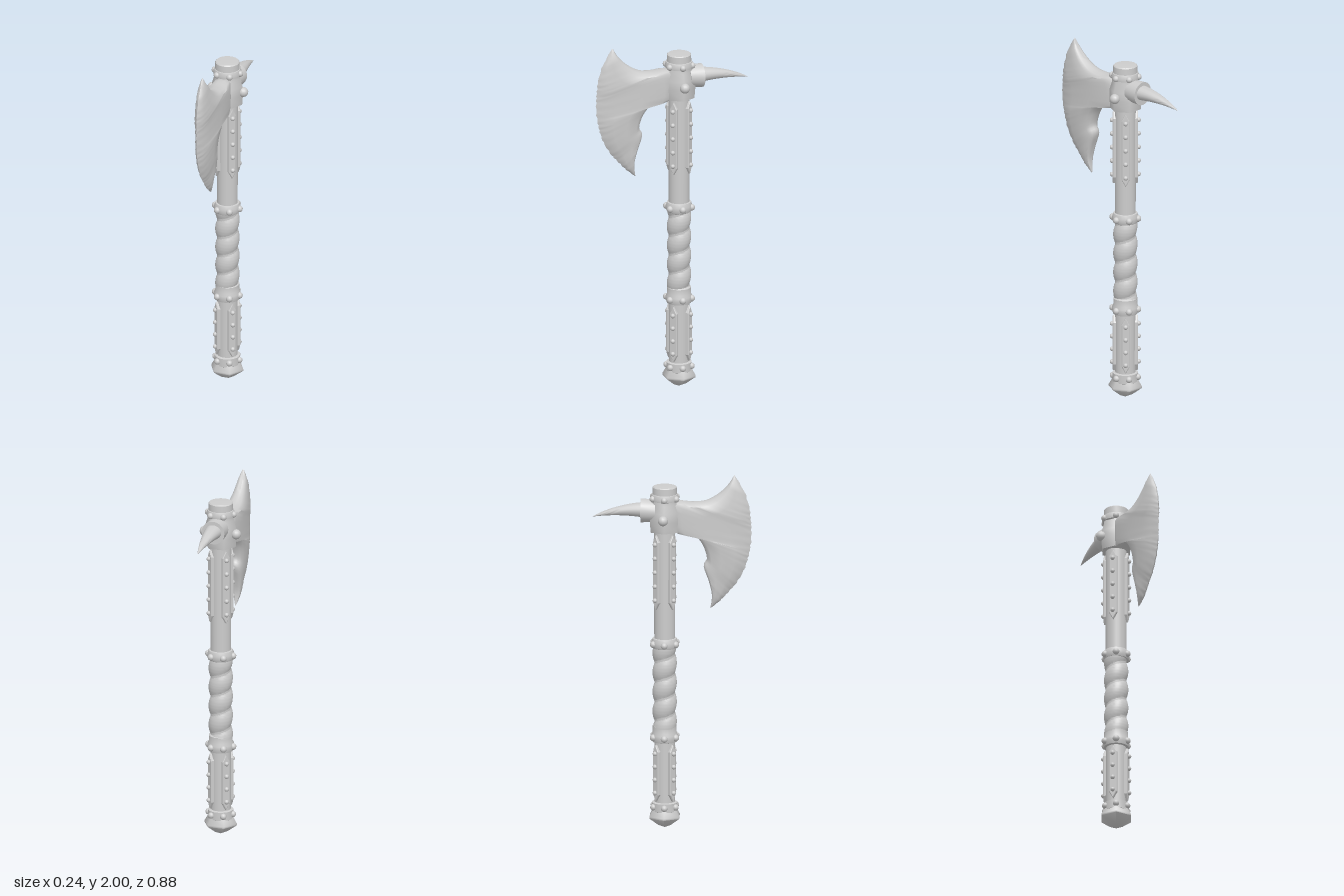
import * as THREE from 'three';
import { toCreasedNormals, mergeVertices } from 'three/addons/utils/BufferGeometryUtils.js';

const TAU = Math.PI * 2;
const steel = new THREE.MeshStandardMaterial({ color: 0xcccccc });
steel.name = 'light grey steel';

// Skin a list of closed rings (each an array of [x, y, z])
function loft(rings, crease = 0.7) {
  const n = rings[0].length, index = [];
  for (let i = 0; i < rings.length - 1; i++) {
    for (let j = 0; j < n; j++) {
      const a = i * n + j, b = i * n + (j + 1) % n;
      index.push(a, b, a + n, b, b + n, a + n);
    }
  }
  const g = new THREE.BufferGeometry();
  g.setAttribute('position', new THREE.Float32BufferAttribute(rings.flat(2), 3));
  g.setIndex(index);
  return toCreasedNormals(g, crease);
}

// Turned part from [radius, y] pairs; six-sided parts have corners at the left and right
function turned(profile, sides, crease = 0.6) {
  const points = profile.map(p => new THREE.Vector2(p[0], p[1]));
  const g = new THREE.LatheGeometry(points, sides, sides === 6 ? Math.PI / 6 : 0);
  g.deleteAttribute('normal');
  g.deleteAttribute('uv');
  return toCreasedNormals(mergeVertices(g, 1e-5), crease);
}

function add(parent, name, geometry) {
  const mesh = new THREE.Mesh(geometry, steel);
  mesh.name = name;
  parent.add(mesh);
  return mesh;
}

// Ring of round studs about the shaft
function studRing(parent, name, y, radius, size, count = 6) {
  const group = new THREE.Group();
  group.name = name;
  for (let i = 0; i < count; i++) {
    const a = Math.PI / 6 + i * TAU / count;
    const stud = add(group, 'stud', new THREE.SphereGeometry(size, 12, 8));
    stud.position.set(radius * Math.sin(a), y, radius * Math.cos(a));
  }
  parent.add(group);
}

// Four pointed bars on the diagonals, each carrying a row of studs
function studdedBars(parent, name, y0, y1, count) {
  const h = (y1 - y0) / 2, w = 0.018, p = 0.035;
  const shape = new THREE.Shape([[0, -h], [w, p - h], [w, h - p], [0, h], [-w, h - p], [-w, p - h]]
    .map(q => new THREE.Vector2(q[0], q[1])));
  const plate = new THREE.ExtrudeGeometry(shape, {
    depth: 0.018, bevelEnabled: true, bevelThickness: 0.004, bevelSize: 0.004, bevelSegments: 1 });
  for (let k = 0; k < 4; k++) {
    const group = new THREE.Group();
    group.name = name;
    group.rotation.y = Math.PI / 4 + k * Math.PI / 2;
    add(group, 'bar', plate).position.set(0, (y0 + y1) / 2, 0.048);
    for (let i = 0; i < count; i++) {
      const stud = add(group, 'barStud', new THREE.SphereGeometry(0.013, 10, 8));
      stud.position.set(0, y0 + (y1 - y0) * (i + 0.6) / (count + 0.2), 0.073);
    }
    parent.add(group);
  }
}

// Crescent blade: each row runs from the inner outline to the cutting edge
function bladeGeometry() {
  const curve = pts => new THREE.SplineCurve(pts.map(p => new THREE.Vector2(p[0], p[1])));
  const inner = curve([[.345, 2], [.315, 1.95], [.26, 1.895], [.19, 1.855], [.11, 1.845], [0, 1.84],
    [0, 1.69], [.1, 1.675], [.14, 1.65], [.175, 1.6], [.195, 1.53], [.177, 1.485], [.205, 1.4],
    [.222, 1.32], [.213, 1.245]]);
  const outer = curve([[.345, 2], [.402, 1.91], [.43, 1.82], [.437, 1.77], [.44, 1.73], [.442, 1.69],
    [.44, 1.62], [.43, 1.56], [.42, 1.52], [.4, 1.46], [.36, 1.39], [.33, 1.355], [.295, 1.315],
    [.26, 1.28], [.213, 1.245]]);
  const thick = [0, .024, .036, .046, .053, .055, .055, .053, .05, .045, .04, .035, .03, .02, 0];
  const across = [[0, .3], [.05, .75], [.16, 1], [.45, .95], [.75, .72], [.9, .42], [1, 0]];
  const rows = 56, rings = [];
  for (let i = 0; i <= rows; i++) {
    const t = i / rows, k = Math.min(13, Math.floor(t * 14)), f = t * 14 - k;
    const T = thick[k] * (1 - f) + thick[k + 1] * f;
    const a = inner.getPoint(t), b = outer.getPoint(t);
    if (i > 2 && i < rows - 2) b.x -= 0.003 * (1 + Math.sin(i * 2.3)); // worn edge
    const at = ([v, s], side) => [side * T * s, a.y + (b.y - a.y) * v, a.x + (b.x - a.x) * v];
    rings.push([...across.map(q => at(q, 1)), ...across.slice(0, -1).reverse().map(q => at(q, -1))]);
  }
  return loft(rings, 0.8);
}

// Gently curved back spike, tapering to a point
function spikeGeometry() {
  const path = new THREE.QuadraticBezierCurve(
    new THREE.Vector2(-0.11, 1.797), new THREE.Vector2(-0.29, 1.81), new THREE.Vector2(-0.437, 1.758));
  const rings = [];
  for (let i = 0; i <= 14; i++) {
    const t = i / 14, c = path.getPoint(t), r = 0.056 * Math.pow(1 - t, 0.85);
    rings.push(Array.from({ length: 18 }, (_, j) => {
      const a = j * TAU / 18;
      return [r * Math.cos(a), c.y - 0.85 * r * Math.sin(a), c.x];
    }));
  }
  return loft(rings, 1);
}

// Spiral grip wrapping
function wrapGeometry(y0, y1) {
  const rings = [];
  for (let i = 0; i <= 72; i++) {
    const y = y0 + (y1 - y0) * i / 72;
    rings.push(Array.from({ length: 36 }, (_, j) => {
      const a = j * TAU / 36, p = y / 0.11 - a / TAU;
      const r = 0.053 + 0.014 * Math.pow(Math.abs(Math.sin(Math.PI * p)), 0.7);
      return [r * Math.sin(a), y, r * Math.cos(a)];
    }));
  }
  return loft(rings, 1.0);
}

export function createModel() {
  const model = new THREE.Group();
  model.name = 'battleAxe';
  const haft = new THREE.Group();
  haft.name = 'haft';
  haft.position.z = -0.038;
  model.add(haft);

  // Shaft, grip and pommel
  add(haft, 'shaft', new THREE.CylinderGeometry(0.058, 0.056, 1.6, 24, 1)).position.y = 0.9;
  add(haft, 'gripWrap', wrapGeometry(0.57, 1.04));
  add(haft, 'pommel', turned([[0, 0.005], [0.04, 0.022], [0.094, 0.062], [0.094, 0.072],
    [0.075, 0.105], [0.072, 0.12]], 6, 1.2));
  add(haft, 'pommelCollar', turned([[0.06, 0.09], [0.07, 0.1], [0.07, 0.148], [0.055, 0.152]], 24));
  studRing(haft, 'pommelStuds', 0.125, 0.07, 0.018);
  studdedBars(haft, 'lowerBar', 0.165, 0.475, 4);
  studdedBars(haft, 'upperBar', 1.25, 1.66, 5);

  // Collars at both ends of the grip
  add(haft, 'lowerCollar', turned([[0.055, 0.488], [0.068, 0.492], [0.073, 0.51], [0.073, 0.53],
    [0.066, 0.545], [0.066, 0.58], [0.055, 0.588]], 24));
  studRing(haft, 'lowerCollarStuds', 0.518, 0.071, 0.019);
  add(haft, 'upperCollar', turned([[0.055, 1.015], [0.068, 1.022], [0.073, 1.035], [0.073, 1.055],
    [0.066, 1.075], [0.05, 1.078]], 24));
  studRing(haft, 'upperCollarStuds', 1.045, 0.071, 0.019);

  // Head socket with side knobs, topped by a studded ring and a cap
  add(haft, 'headSocket', turned([[0.05, 1.678], [0.087, 1.68], [0.092, 1.74], [0.09, 1.79],
    [0.076, 1.835], [0.074, 1.86], [0.05, 1.865]], 6, 1.1));
  add(haft, 'topRing', turned([[0.06, 1.85], [0.076, 1.855], [0.078, 1.872], [0.072, 1.89],
    [0.06, 1.893]], 24));
  studRing(haft, 'topStuds', 1.868, 0.074, 0.018);
  add(haft, 'cap', turned([[0.068, 1.86], [0.067, 1.928], [0.062, 1.933], [0, 1.936]], 24));
  for (const side of [-1, 1]) {
    const knob = add(haft, 'sideKnob', new THREE.SphereGeometry(0.028, 14, 10));
    knob.position.set(side * 0.091, 1.757, -0.006);
  }

  // Blade, spike and spike collar
  add(model, 'blade', bladeGeometry());
  add(model, 'backSpike', spikeGeometry());
  const collar = add(model, 'spikeCollar', toCreasedNormals(
    new THREE.CylinderGeometry(0.062, 0.066, 0.08, 20), 0.7));
  collar.rotation.x = Math.PI / 2;
  collar.position.set(0, 1.795, -0.13);

  return model;
}
